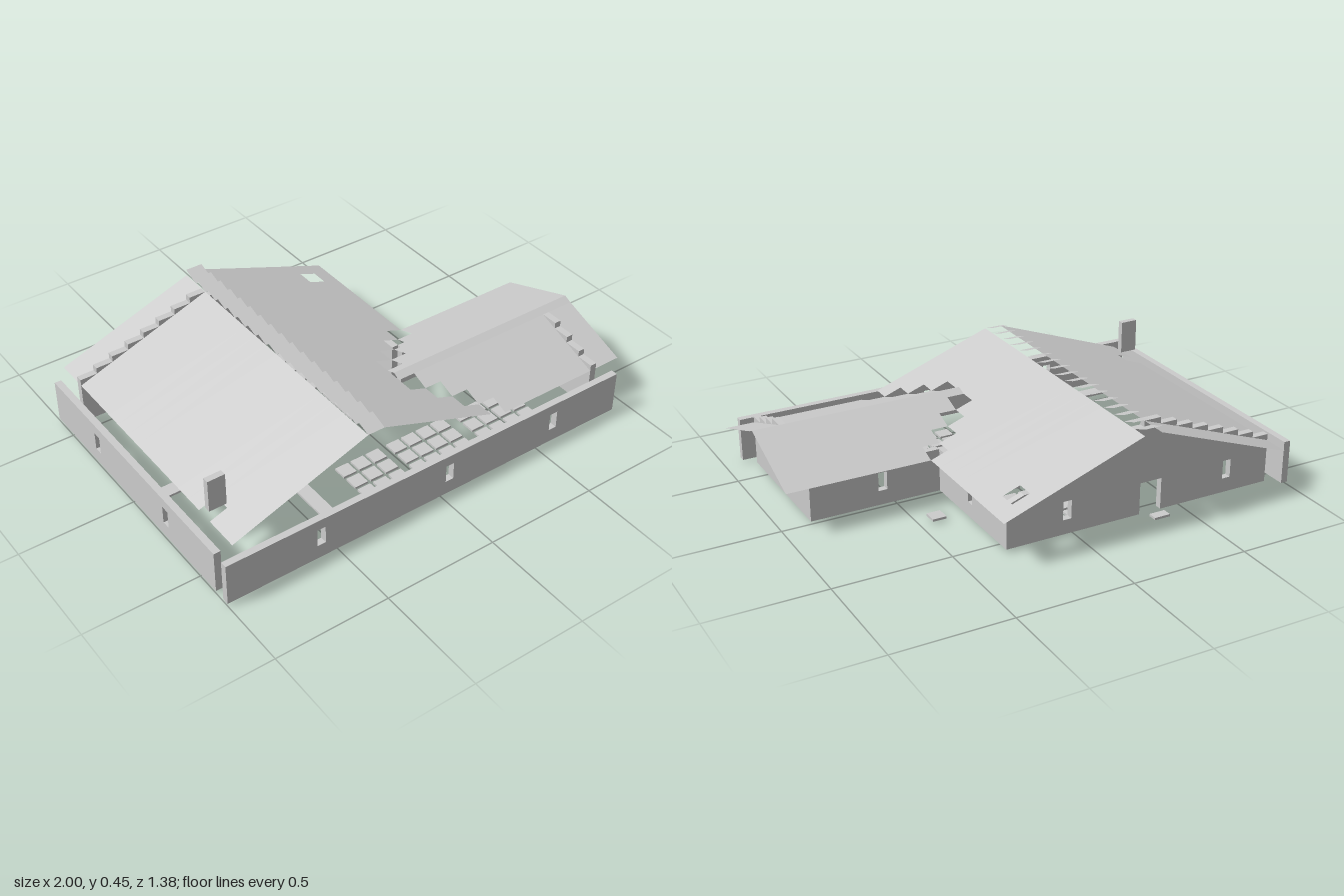
import * as THREE from 'three';

const U = 0.0765;          // plan module
const S = 0.0276;          // roof rise per module
const EAVE = 0.2, BASE = 0.012, T = 0.03;
const X0 = -0.92, Z0 = 0.61; // front left corner of the main roof

export function createModel() {
  const group = new THREE.Group();
  const plaster = new THREE.MeshStandardMaterial({ color: 0xcccccc, side: THREE.DoubleSide });
  plaster.name = 'light grey';

  const add = (name, geometry) => {
    const mesh = new THREE.Mesh(geometry, plaster);
    mesh.name = name;
    group.add(mesh);
    return mesh;
  };
  const box = (name, x0, x1, y0, y1, z0, z1) => {
    add(name, new THREE.BoxGeometry(x1 - x0, y1 - y0, z1 - z0))
      .position.set((x0 + x1) / 2, (y0 + y1) / 2, (z0 + z1) / 2);
  };

  // Wall outline in (length, height) with window openings; axis is the run direction
  const wall = (name, axis, at, outline, windows) => {
    const shape = new THREE.Shape(outline.map(([a, b]) => new THREE.Vector2(a, b)));
    for (const w of windows) {
      const hole = new THREE.Path();
      hole.moveTo(w - 0.019, 0.075);
      hole.lineTo(w - 0.019, 0.155);
      hole.lineTo(w + 0.019, 0.155);
      hole.lineTo(w + 0.019, 0.075);
      hole.closePath();
      shape.holes.push(hole);
    }
    const g = new THREE.ExtrudeGeometry(shape, { depth: T, bevelEnabled: false });
    if (axis === 'z') g.rotateY(-Math.PI / 2).translate(at + T, 0, 0);
    else g.translate(0, 0, at);
    add(name, g);
  };
  const rect = (a, b) => [[a, BASE], [b, BASE], [b, EAVE], [a, EAVE]];

  // Stepped gable top: heights counted in rises, one per module
  const steps = (start, dir, levels) => levels.flatMap((n, i) => [
    [start + dir * i * U, EAVE + n * S], [start + dir * (i + 1) * U, EAVE + n * S]]);

  // Sheet made of plan rectangles [x0, x1, z0, z1] lifted by a height rule
  const sheet = (name, rects, height) => {
    const p = [];
    for (const [x0, x1, z0, z1] of rects) {
      const c = [[x0, z0], [x0, z1], [x1, z1], [x1, z0]];
      for (const i of [0, 1, 2, 0, 2, 3]) p.push(c[i][0], height(...c[i]), c[i][1]);
    }
    const g = new THREE.BufferGeometry();
    g.setAttribute('position', new THREE.Float32BufferAttribute(p, 3));
    g.computeVertexNormals();
    add(name, g);
  };

  // Perimeter walls
  wall('frontWall', 'x', 0.66, rect(-1, 0.92), [-0.58, 0.035, 0.575]);
  wall('leftSideWall', 'z', -1, rect(-0.62, 0.61), [-0.27, 0.26]);
  wall('mainSideWall', 'z', 0.275, rect(-0.54, 0), [-0.27]);
  wall('wingBackWall', 'x', 0, rect(0.305, 0.845), [0.56]);
  wall('mainGableWall', 'x', -0.57, [
    [X0, BASE], [-0.40, BASE], [-0.40, 0.15], [-0.30, 0.15], [-0.30, BASE], [0.305, BASE], [0.305, EAVE],
    ...steps(X0, 1, [1, 2, 3, 4, 5, 6, 7, 8, 7, 6, 5, 4, 3, 2, 1]).reverse()], [-0.72, 0.035]);
  wall('wingGableWall', 'z', 0.845, [
    [0, BASE], [Z0, BASE], ...steps(Z0, -1, [1, 2, 3, 4, 3, 2, 1]), [0.0745, EAVE], [0, EAVE]], [0.352]);

  // Main roof, row by row, cut back in steps where the wing joins
  const ridgeL = X0 + 8 * U, ridgeR = X0 + 9 * U;
  const reach = [7, 6, 5, 4, 4, 4, 5, 6, 7];
  const left = [], right = [], ridge = [];
  for (let k = 0; k < 17; k++) {
    const z1 = Z0 - k * U, z0 = z1 - U;
    left.push([k === 2 ? X0 + U : X0, ridgeL, z0, z1]);
    const end = ridgeR + (reach[k] ?? 8) * U;
    if (k === 15) {
      right.push([ridgeR, ridgeR + 6 * U, z0, z1], [ridgeR + 7 * U, end, z0, z1]);
    } else right.push([ridgeR, end, z0, z1]);
    ridge.push([ridgeL, ridgeR, z0, z1]);
  }
  const top = EAVE + 8 * S;
  sheet('mainRoofLeftSlope', left, (x) => EAVE + (x - X0) / U * S);
  sheet('mainRoofRightSlope', right, (x) => top - (x - ridgeR) / U * S);
  // Each ridge tile tips up toward the back
  ridge.forEach((r) => sheet('ridgeTile', [r], (x, z) => top + (r[3] - z) / U * S));

  // Wing roof
  const wingFront = [], wingBack = [], valley = ridgeR + 4 * U;
  const backEdge = Z0 - 9 * U, zPeak = 0.27, zBreak = Z0 - 4 * U;
  for (let k = 0; k < 4; k++) {
    const start = valley + (4 - k) * U;
    wingFront.push([start, 1, Z0 - (k + 1) * U, Z0 - k * U]);
    wingBack.push([start, 1, backEdge + k * U, backEdge + (k + 1) * U]);
  }
  wingBack.push([valley, 1, backEdge + 4 * U, zPeak]);
  const backY = (x, z) => EAVE + (z - backEdge) / U * S;
  const yPeak = backY(0, zPeak), yBreak = EAVE + 4 * S;
  sheet('wingRoofFrontSlope', wingFront, (x, z) => EAVE + (Z0 - z) / U * S);
  sheet('wingRoofBackSlope', wingBack, backY);
  sheet('wingRidge', [[valley, 1, zPeak, zBreak]], (x, z) => (z > 0.28 ? yBreak : yPeak));

  // Chimney slab and doorsteps
  box('chimney', X0, X0 + U, 0.25, 0.395, 0.43, 0.457);
  box('sideDoorstep', 0.39, 0.45, 0.01, 0.02, -0.23, -0.17);
  box('backDoorstep', -0.40, -0.33, 0.01, 0.02, -0.64, -0.60);

  // Floor edging and tile patches
  box('floorEdgeLong', -0.45, -0.39, 0, 0.01, 0.0, 0.53);
  box('floorEdgeShort', -0.92, -0.45, 0, 0.01, 0.0, 0.06);
  box('frontFloorStrip', -0.92, -0.60, 0, 0.01, 0.55, 0.61);
  box('floorPad', -0.70, -0.64, 0, 0.01, 0.13, 0.19);
  const patch = (cx, cz, nx, nz) => {
    for (let i = 0; i < nx; i++) for (let j = 0; j < nz; j++) {
      const x = cx + (i - (nx - 1) / 2) * U, z = cz + (j - (nz - 1) / 2) * U;
      box('floorTile', x - 0.031, x + 0.031, 0, 0.01, z - 0.031, z + 0.031);
    }
  };
  patch(0.50, 0.42, 4, 3);
  patch(0.154, 0.422, 4, 3);
  patch(-0.14, 0.42, 3, 3);
  patch(-0.04, -0.31, 4, 4);
  patch(-0.09, -0.01, 4, 3);

  return group;
}
